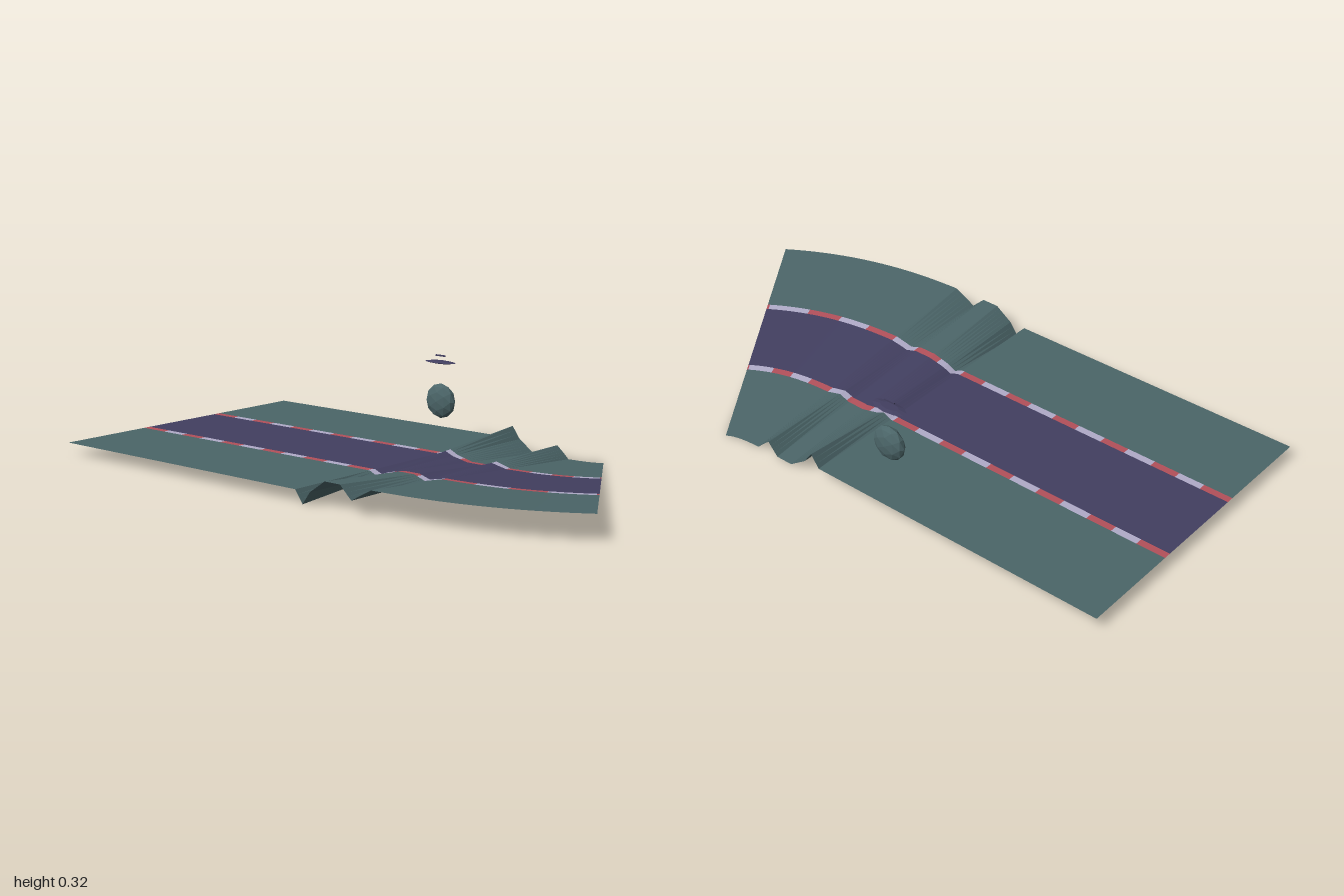
import * as THREE from 'three';

const mat = (name, color) => {
  const m = new THREE.MeshStandardMaterial({ color, side: THREE.DoubleSide, flatShading: true });
  m.name = name;
  return m;
};

// Bank height at the verge edge, by distance along the track
const BANK = [[-1, 0], [0.05, 0], [0.08, -1], [0.11, 0], [0.17, 1], [0.23, 1], [0.27, 0], [0.33, 1], [0.72, 1]];
const HALF = 0.515, AMP = 0.0415, MID = 0.0435, END = 0.715;

function bankAt(x) {
  for (let i = 1; i < BANK.length; i++) {
    const [x0, b0] = BANK[i - 1], [x1, b1] = BANK[i];
    if (x <= x1) return THREE.MathUtils.lerp(b0, b1, (x - x0) / (x1 - x0));
  }
  return 1;
}

// Point on the track: x along the centre line, w across it (+ towards the front)
function trackPoint(x, w) {
  const t = Math.max(0, x - 0.21), k = 0.854;
  const a = Math.atan(3 * k * t * t);
  return [x + w * Math.sin(a), MID + AMP * bankAt(x) * w / HALF, 0.01 - k * t ** 3 + w * Math.cos(a)];
}

// Stations along the track: a long straight, then fine steps through the twists and bend
const stations = [];
for (let i = 0; i <= 171; i++) stations.push(-1 + i * 0.01);
stations.push(END);

// Ribbon between two offsets, keeping only the segments that pass the test
function ribbon(w0, w1, keep = () => true) {
  const pos = [];
  for (let i = 1; i < stations.length; i++) {
    const x0 = stations[i - 1], x1 = stations[i];
    if (!keep((x0 + x1) / 2)) continue;
    const a = trackPoint(x0, w0), b = trackPoint(x0, w1), c = trackPoint(x1, w1), d = trackPoint(x1, w0);
    pos.push(...a, ...b, ...c, ...a, ...c, ...d);
  }
  const g = new THREE.BufferGeometry();
  g.setAttribute('position', new THREE.Float32BufferAttribute(pos, 3));
  g.computeVertexNormals();
  return g;
}

export function createModel() {
  const group = new THREE.Group();
  const grass = mat('grassTeal', 0x4b6568);
  const asphalt = mat('roadPurple', 0x423f60);
  const red = mat('kerbRed', 0xb2505a);
  const pale = mat('kerbPale', 0xb0abc8);

  const add = (name, geo, material, x = 0, y = 0, z = 0) => {
    const m = new THREE.Mesh(geo, material);
    m.name = name;
    m.position.set(x, y, z);
    group.add(m);
    return m;
  };

  // Road surface
  add('road', ribbon(-0.155, 0.155), asphalt);

  // Verges and striped kerbs on both sides
  const isPale = x => Math.floor((x + 1) / 0.095) % 2 === 1;
  for (const [side, w0, w1, v0, v1] of [
    ['front', 0.155, 0.18, 0.18, HALF],
    ['back', -0.18, -0.155, -HALF, -0.18],
  ]) {
    add(side + 'Verge', ribbon(v0, v1), grass);
    add(side + 'KerbRed', ribbon(w0, w1, x => !isPale(x)), red);
    add(side + 'KerbPale', ribbon(w0, w1, isPale), pale);
  }

  // Floating flattened boulder
  add('boulder', new THREE.IcosahedronGeometry(0.06, 1), grass, -0.135, 0.163, -0.383).scale.z = 0.45;

  // Thin disc hovering above it, with a small bar on top
  const disc = [[0, -0.004], [0.035, -0.004], [0.064, 0], [0.035, 0.004], [0, 0.004]]
    .map(([r, y]) => new THREE.Vector2(r, y));
  add('disc', new THREE.LatheGeometry(disc, 10), asphalt, -0.137, 0.296, -0.383).scale.z = 0.45;
  add('discBar', new THREE.BoxGeometry(0.04, 0.005, 0.004), asphalt, -0.137, 0.318, -0.383);

  return group;
}
